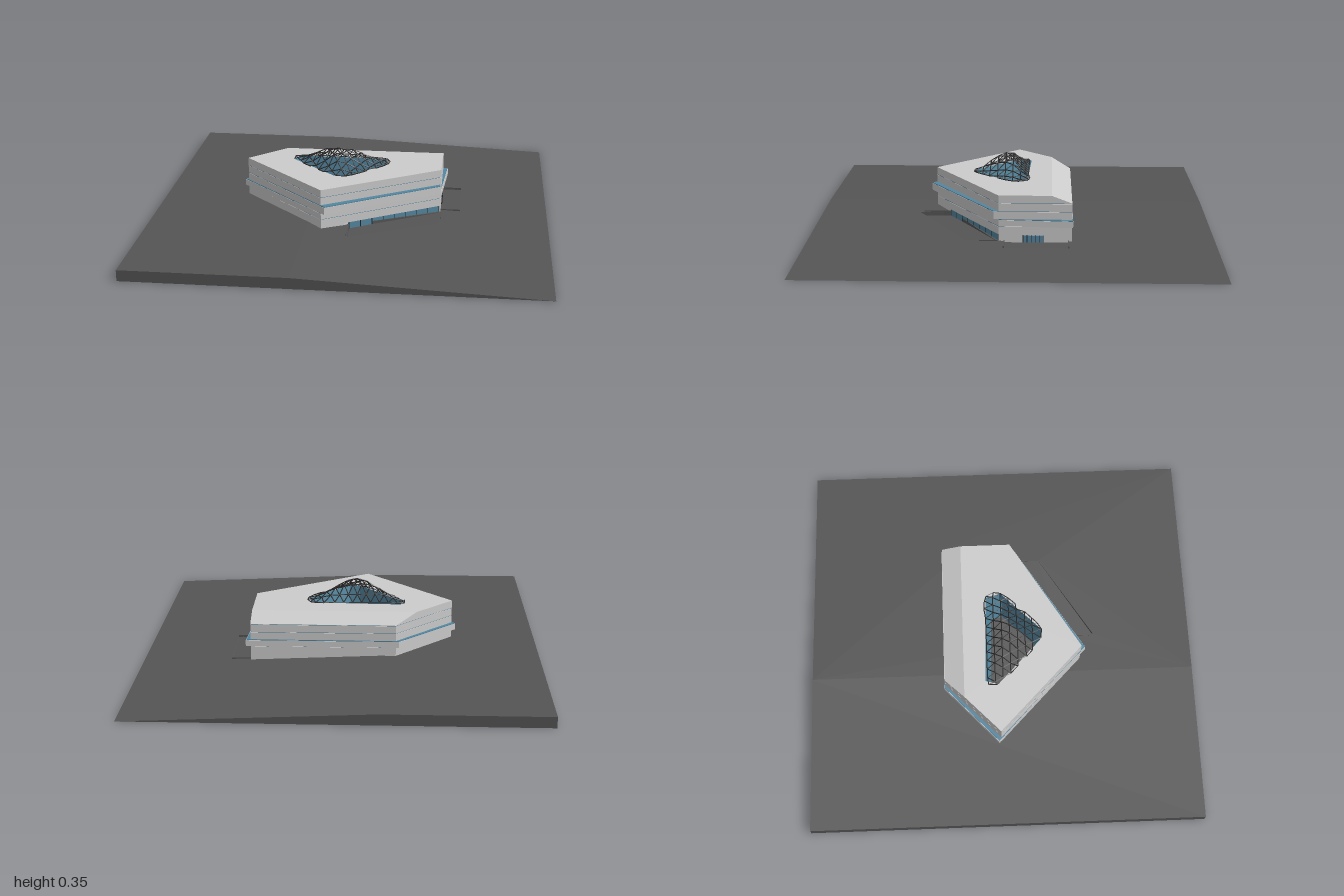
import * as THREE from 'three';
import { mergeGeometries } from 'three/addons/utils/BufferGeometryUtils.js';

const mat = (color, side = THREE.FrontSide) =>
  new THREE.MeshStandardMaterial({ color, side, flatShading: true });
const GREY = mat(0xcccccc), DARK = mat(0x555555), STEEL = mat(0x2a2a2a);
const GLASS = mat(0x5487a0, THREE.DoubleSide);

// Plan outlines as [x, z]
const PLAN = [[-0.57, -0.02], [-0.28, -0.3], [0.45, -0.3], [0.45, 0.06], [-0.13, 0.41]];
const FRONT_SHIFT = [[-0.57, -0.02], [-0.28, -0.3], [0.45, -0.3], [0.45, 0.085], [-0.11, 0.435]];
const SIDE_SHIFT = [[-0.59, -0.03], [-0.295, -0.305], [0.475, -0.305], [0.45, 0.06], [-0.13, 0.41]];
const ATRIUM = [[-0.34, -0.03], [-0.32, -0.1], [0.17, -0.085], [0.19, 0], [-0.03, 0.22], [-0.09, 0.21]];
const CENTRE = [-0.08, 0.04];
const scaled = (pts, k, c = CENTRE) => pts.map(([x, z]) => [c[0] + (x - c[0]) * k, c[1] + (z - c[1]) * k]);
const OPENING = scaled(ATRIUM, 0.93);
const groundY = (x) => 0.055 * Math.min(1, (1 - x) / 1.2);

// Vertical prism over a plan outline, with optional holes
function prism(outline, y0, y1, holes = []) {
  const v = (pts) => pts.map(([x, z]) => new THREE.Vector2(x, -z));
  const shape = new THREE.Shape(v(outline));
  holes.forEach((h) => shape.holes.push(new THREE.Path(v(h))));
  const g = new THREE.ExtrudeGeometry(shape, { depth: y1 - y0, bevelEnabled: false });
  return g.rotateX(-Math.PI / 2).translate(0, y0, 0);
}

// Move every vertex's height by a rule
function reheight(g, rule) {
  const p = g.attributes.position;
  for (let i = 0; i < p.count; i++) p.setY(i, rule(p.getX(i), p.getY(i), p.getZ(i)));
  g.computeVertexNormals();
  return g;
}

function add(group, name, geometry, material) {
  const m = new THREE.Mesh(geometry, material);
  m.name = name;
  group.add(m);
  return m;
}

function box(group, name, material, w, h, d, x, y, z) {
  return add(group, name, new THREE.BoxGeometry(w, h, d).translate(x, y, z), material);
}

function buildGround(root) {
  const site = new THREE.Group();
  site.name = 'ground';
  root.add(site);
  const terrace = [[0, 0.325], [0.01, 0.49], [0.45, 0.22], [0.45, 0.07]];
  const court = [[0.44, -0.28], [0.55, -0.28], [0.55, 0.03], [0.44, 0.03]];
  box(site, 'flatGround', DARK, 0.8, 0.055, 2, -0.6, 0.0275, 0);
  const slope = prism([[-0.2, -1], [1, -1], [1, 1], [-0.2, 1]], 0, 1, [terrace, court]);
  add(site, 'slopingGround', reheight(slope, (x, y) => (y > 0.5 ? groundY(x) : 0)), DARK);
  add(site, 'sunkenTerrace', prism(terrace, 0, 0.024), DARK);
  add(site, 'sideCourt', prism(court, 0, 0.018), DARK);
  // low retaining walls
  for (const z of [-0.283, 0.033]) box(site, 'courtWall', DARK, 0.1, 0.03, 0.005, 0.5, 0.014, z);
  box(site, 'terraceWall', DARK, 0.005, 0.05, 0.14, 0, 0.026, 0.4);
  box(site, 'terraceEndWall', DARK, 0.005, 0.03, 0.09, 0.453, 0.015, 0.11);
}

function buildFloors(root) {
  const house = new THREE.Group();
  house.name = 'building';
  root.add(house);
  // stacked floors: outline, bottom, top
  const floors = [
    [PLAN, 0.058, 0.097],
    [SIDE_SHIFT, 0.1, 0.131],
    [FRONT_SHIFT, 0.135, 0.172],
    [PLAN, 0.175, 0.213],
  ];
  floors.forEach(([o, y0, y1], i) => {
    add(house, 'floor' + (i + 1), prism(o, y0, y1, [OPENING]), GREY);
    // window ribbon over each floor, also the glazed top of the ledges
    add(house, 'windowBand' + (i + 1), prism(scaled(o, 0.994), y1, y1 + 0.004, [OPENING]), GLASS);
  });
  // base, cut back under the front edge for the lobby
  const base = [[-0.57, -0.02], [-0.28, -0.3], [0.45, -0.3], [0.45, 0.06], [0.43, 0.06], [0, 0.32], [-0.02, 0.343], [-0.13, 0.41]];
  add(house, 'base', prism(base, 0.002, 0.058), GREY);

  // roof with its back strip folded down
  const fold = -0.2;
  const roof = [[-0.57, -0.02], [-0.384, fold], [0.45, fold], [0.45, 0.06], [-0.13, 0.41]];
  add(house, 'roof', prism(roof, 0.216, 0.255, [OPENING]), GREY);
  const strip = prism([[-0.384, fold], [-0.28, -0.3], [0.45, -0.3], [0.45, fold]], 0.216, 0.255);
  add(house, 'roofSlope', reheight(strip, (x, y, z) =>
    (y > 0.24 ? 0.255 + (z - fold) * 0.38 : y)), GREY);

  // lobby glazing along the front right edge
  const a = new THREE.Vector3(0.0, 0, 0.327), b = new THREE.Vector3(0.44, 0, 0.06);
  const lobby = new THREE.Group();
  lobby.name = 'lobbyGlass';
  lobby.position.set(a.x, 0, a.z);
  lobby.rotation.y = Math.atan2(a.z - b.z, b.x - a.x);
  house.add(lobby);
  const len = a.distanceTo(b);
  box(lobby, 'glassWall', GLASS, len, 0.034, 0.004, len / 2, 0.041, 0);
  for (let i = 0; i <= 8; i++) box(lobby, 'mullion', STEEL, 0.003, 0.034, 0.006, (len * i) / 8, 0.041, 0);

  // side entrance doors
  box(house, 'sideDoors', GLASS, 0.004, 0.034, 0.1, 0.451, 0.036, -0.11);
  for (let i = 0; i <= 5; i++) box(house, 'doorPost', STEEL, 0.006, 0.036, 0.003, 0.452, 0.037, -0.06 - i * 0.02);
}

function buildAtrium(root) {
  const top = OPENING, low = scaled(OPENING, 0.78), pos = [];
  top.forEach(([x, z], i) => {
    const j = (i + 1) % top.length;
    const [p, q, r, s] = [[x, 0.254, z], [top[j][0], 0.254, top[j][1]],
      [low[j][0], 0.06, low[j][1]], [low[i][0], 0.06, low[i][1]]];
    pos.push(...p, ...r, ...q, ...p, ...s, ...r);
  });
  const g = new THREE.BufferGeometry();
  g.setAttribute('position', new THREE.Float32BufferAttribute(pos, 3));
  g.computeVertexNormals();
  add(root, 'atriumGlass', g, GLASS);
  add(root, 'atriumFloor', prism(OPENING, 0.058, 0.062), DARK);
}

// Smoothed distance from the dome centre: 0 at the centre, 1 on the rim
function rimFraction(x, z) {
  let sum = 0;
  ATRIUM.forEach(([ax, az], i) => {
    const [bx, bz] = ATRIUM[(i + 1) % ATRIUM.length];
    const nx = bz - az, nz = ax - bx;
    const d = (nx * (x - CENTRE[0]) + nz * (z - CENTRE[1])) /
      (nx * (ax - CENTRE[0]) + nz * (az - CENTRE[1]));
    sum += Math.max(0, d) ** 10;
  });
  return sum ** 0.1;
}

function buildLattice(root) {
  const a = 0.046, n = 14, nodes = new Map();
  for (let j = -n; j <= n; j++) {
    for (let i = -2 * n; i <= 2 * n; i++) {
      let x = CENTRE[0] + a * (i + j / 2), z = CENTRE[1] + a * 0.866 * j;
      let s = rimFraction(x, z);
      if (s > 1.13) continue;
      if (s > 0.93) { // snap the outer nodes to the rim
        [[x, z]] = scaled([[x, z]], 1 / s);
        s = 1;
      }
      const y = 0.258 + 0.046 * (1 + Math.cos(Math.PI * s));
      nodes.set(i + ',' + j, new THREE.Vector3(x, y, z));
    }
  }
  const bars = [], up = new THREE.Vector3(0, 1, 0);
  for (const [key, p] of nodes) {
    const [i, j] = key.split(',').map(Number);
    for (const [di, dj] of [[1, 0], [0, 1], [-1, 1]]) {
      const q = nodes.get(`${i + di},${j + dj}`);
      if (!q) continue;
      const dir = q.clone().sub(p), len = dir.length();
      if (len < 1e-4) continue;
      const bar = new THREE.CylinderGeometry(0.0026, 0.0026, len, 4);
      bar.applyQuaternion(new THREE.Quaternion().setFromUnitVectors(up, dir.normalize()));
      const mid = p.clone().add(q).multiplyScalar(0.5);
      bars.push(bar.translate(mid.x, mid.y, mid.z));
    }
  }
  add(root, 'domeLattice', mergeGeometries(bars), STEEL);
}

export function createModel() {
  const root = new THREE.Group();
  root.name = 'pavilionBuilding';
  buildGround(root);
  buildFloors(root);
  buildAtrium(root);
  buildLattice(root);
  return root;
}
